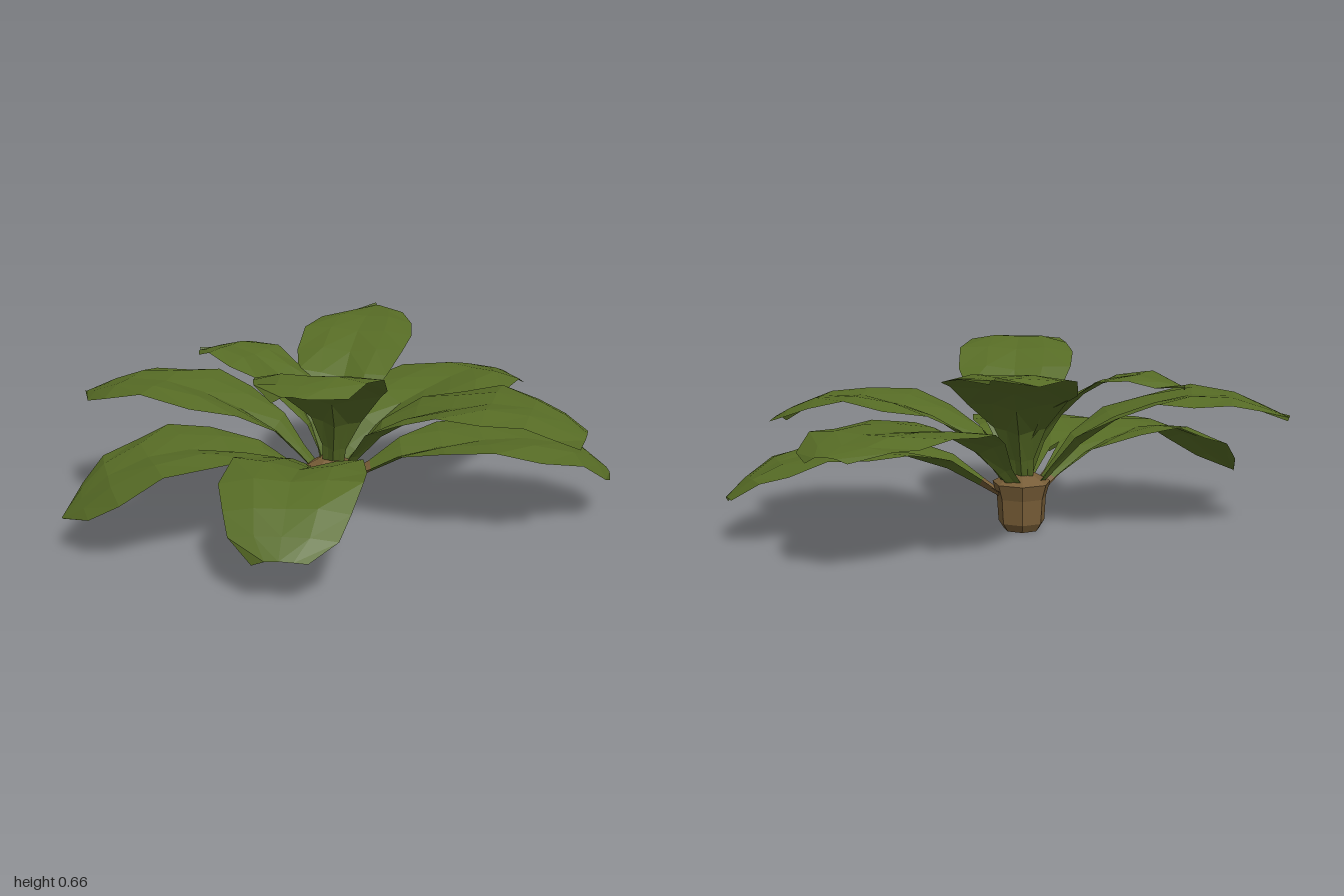
import * as THREE from 'three';

const leafGreen = new THREE.MeshStandardMaterial({ color: 0x566b25, flatShading: true, side: THREE.DoubleSide });
leafGreen.name = 'leaf green';
const stumpBrown = new THREE.MeshStandardMaterial({ color: 0x765c36, flatShading: true, side: THREE.DoubleSide });
stumpBrown.name = 'stump brown';

// Stations along a leaf: [position, share of half width, upward fold]
const STATIONS = [
  [0, 0.17, 0.5], [0.12, 0.2, 0.75], [0.24, 0.42, 0.65], [0.38, 0.78, 0.42],
  [0.52, 0.97, 0.28], [0.66, 1, 0.2], [0.8, 0.86, 0.14], [0.91, 0.58, 0.08], [1, 0.04, 0],
];
const ACROSS = [-1, -0.5, 0, 0.5, 1];

// Leaf surface swept along its midrib, folded into a shallow V that opens toward the tip
function leafGeometry({ path, half, round = 0, tilt = 0, sheath = false }) {
  const curve = new THREE.CatmullRomCurve3(path.map((p) => new THREE.Vector3(...p)));
  const up = new THREE.Vector3(0, 1, 0);
  const dir = new THREE.Vector3().subVectors(curve.getPoint(1), curve.getPoint(0)).setY(0).normalize();
  const flatSide = new THREE.Vector3().crossVectors(dir, up);
  const positions = [];
  STATIONS.forEach(([t, share, fold], i) => {
    const centre = curve.getPointAt(t);
    const tangent = curve.getTangentAt(t);
    const side = flatSide.clone().addScaledVector(tangent, -flatSide.dot(tangent)).normalize();
    const normal = new THREE.Vector3().crossVectors(side, tangent).normalize();
    const extra = i === 8 ? 0.34 * round : i === 7 ? 0.16 * round : 0;
    const w = half * (share + extra);
    for (const s of ACROSS) {
      const wave = t > 0.3 && Math.abs(s) === 1 ? 0.012 * Math.sin(i * 2.4 + s * 1.3 + half * 40) : 0;
      const lift = w * (fold * Math.abs(s) - 0.22 * s * s + tilt * s * t) + wave;
      const p = centre.clone().addScaledVector(side, w * s).addScaledVector(normal, lift);
      positions.push(p.x, p.y, p.z);
    }
  });
  const n = ACROSS.length;
  const index = [];
  for (let r = 0; r < STATIONS.length - 1; r++) {
    for (let c = 0; c < n - 1; c++) {
      const a = r * n + c, b = a + 1, d = a + n, e = d + 1;
      // Diagonals mirror about the midrib
      if (c < 2) index.push(a, b, e, a, e, d);
      else index.push(a, b, d, b, e, d);
    }
  }
  const geometry = new THREE.BufferGeometry();
  geometry.setAttribute('position', new THREE.Float32BufferAttribute(positions, 3));
  geometry.setIndex(index);
  const first = (n - 1) * 6;
  geometry.addGroup(0, first, sheath ? 1 : 0);
  geometry.addGroup(first, index.length - first, 0);
  geometry.computeVertexNormals();
  return geometry;
}

// Three tiers of leaves, each midrib running from the stump to the tip
const LEAVES = [
  { name: 'lowLeafRight', half: 0.25, sheath: true,
    path: [[-0.04, 0.1, -0.05], [-0.28, 0.25, -0.02], [-0.6, 0.33, 0.03], [-0.83, 0.27, 0.03], [-1, 0.12, 0]] },
  { name: 'lowLeafLeft', half: 0.25, round: 0.7, sheath: true,
    path: [[0.04, 0.1, -0.05], [0.3, 0.25, 0.1], [0.65, 0.3, 0.21], [0.87, 0.25, 0.25], [1, 0.16, 0.25]] },
  { name: 'lowLeafFront', half: 0.24, round: 1, sheath: true,
    path: [[-0.02, 0.1, -0.02], [-0.13, 0.25, 0.17], [-0.29, 0.33, 0.41], [-0.37, 0.27, 0.58], [-0.43, 0.16, 0.7]] },
  { name: 'midLeafBackRight', half: 0.24,
    path: [[-0.03, 0.13, -0.08], [-0.24, 0.35, -0.16], [-0.5, 0.48, -0.28], [-0.68, 0.49, -0.41], [-0.82, 0.42, -0.54]] },
  { name: 'midLeafBackLeft', half: 0.26, round: 0.8,
    path: [[0.03, 0.13, -0.08], [0.25, 0.34, -0.12], [0.52, 0.42, -0.22], [0.7, 0.44, -0.31], [0.86, 0.4, -0.42]] },
  { name: 'midLeafFront', half: 0.24, round: 0.9,
    path: [[0.03, 0.13, -0.03], [0.17, 0.34, 0.1], [0.42, 0.47, 0.29], [0.6, 0.47, 0.42], [0.74, 0.39, 0.52]] },
  { name: 'topLeafBackLeft', half: 0.22,
    path: [[0.01, 0.15, -0.08], [0.08, 0.4, -0.18], [0.2, 0.56, -0.37], [0.32, 0.63, -0.54], [0.44, 0.64, -0.71]] },
  { name: 'topLeafBackRight', half: 0.16,
    path: [[-0.01, 0.15, -0.08], [-0.07, 0.38, -0.15], [-0.18, 0.54, -0.27], [-0.28, 0.59, -0.39], [-0.38, 0.55, -0.52]] },
  { name: 'topLeafFront', half: 0.22, round: 0.8,
    path: [[0, 0.15, -0.04], [-0.03, 0.4, 0.07], [-0.12, 0.57, 0.23], [-0.23, 0.66, 0.41], [-0.34, 0.64, 0.57]] },
];

export function createModel() {
  const plant = new THREE.Group();
  plant.name = 'leafyPlant';

  // Faceted stump flaring into the leaf bases
  const profile = [[0.001, 0], [0.066, 0], [0.086, 0.03], [0.092, 0.12], [0.108, 0.175], [0.045, 0.21], [0.001, 0.21]];
  const stump = new THREE.Mesh(
    new THREE.LatheGeometry(profile.map(([r, y]) => new THREE.Vector2(r, y)), 7), stumpBrown);
  stump.name = 'stump';
  stump.position.z = -0.055;
  plant.add(stump);

  for (const leaf of LEAVES) {
    const mesh = new THREE.Mesh(leafGeometry(leaf), [leafGreen, stumpBrown]);
    mesh.name = leaf.name;
    plant.add(mesh);
  }
  return plant;
}
